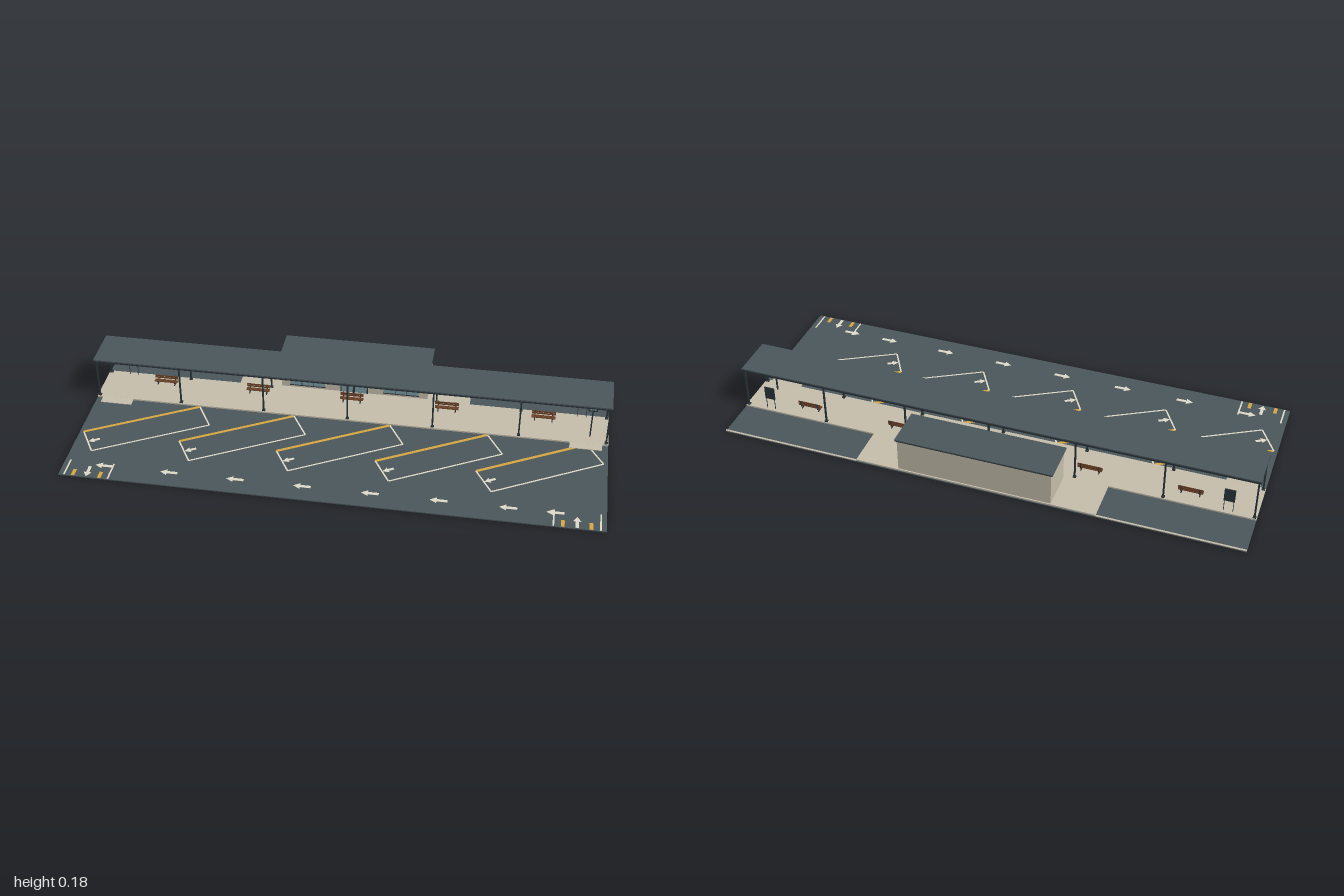
import * as THREE from 'three';

const mat = (name, color) => {
  const m = new THREE.MeshStandardMaterial({ color });
  m.name = name;
  return m;
};

export function createModel() {
  const asphalt = mat('asphalt and roofing', 0x4a565b);
  const dark = mat('dark steel', 0x2b363b);
  const stone = mat('pale stone', 0xc4bdab);
  const glass = mat('glass', 0x7d9ca6);
  const wood = mat('wood', 0x6b4228);
  const white = mat('white paint', 0xdedac8);
  const yellow = mat('yellow paint', 0xd6a540);

  const model = new THREE.Group();
  model.name = 'busStation';

  const group = (name, x = 0, y = 0, z = 0) => {
    const g = new THREE.Group();
    g.name = name;
    g.position.set(x, y, z);
    model.add(g);
    return g;
  };
  // Box given by its minimum and maximum on each axis
  const box = (name, m, x0, x1, y0, y1, z0, z1, parent = model) => {
    const mesh = new THREE.Mesh(new THREE.BoxGeometry(x1 - x0, y1 - y0, z1 - z0), m);
    mesh.position.set((x0 + x1) / 2, (y0 + y1) / 2, (z0 + z1) / 2);
    mesh.name = name;
    parent.add(mesh);
    return mesh;
  };

  const G = 0.004;   // asphalt level
  const P = 0.01;    // platform level

  // Ground, platform and rear forecourt
  box('ground', asphalt, -1, 1, 0, G, -0.415, 0.415);
  box('platform', stone, -1, 1, G, P, -0.25, -0.074);
  box('forecourt', stone, -0.46, 0.46, G, P, -0.413, -0.25);
  for (const s of [-1, 1]) {
    const x = s * 0.73;
    box('rearKerb', stone, x - 0.27, x + 0.27, G, 0.007, -0.415, -0.408);
  }

  // Sloped kerb ramps at both platform ends
  for (const s of [-1, 1]) {
    const profile = new THREE.Shape([[0, 0], [0.033, 0], [0.033, 0.002], [0, P - G]].map(p => new THREE.Vector2(...p)));
    const ramp = new THREE.Mesh(new THREE.ExtrudeGeometry(profile, { depth: 0.123, bevelEnabled: false }), stone);
    ramp.name = 'kerbRamp';
    ramp.rotation.y = -Math.PI / 2;
    ramp.position.set(s * 0.916 + 0.0615, G, -0.075);
    model.add(ramp);
  }

  // Canopy: slab, fascia, beams and two rows of posts
  const canopy = group('canopy');
  box('canopyRoof', asphalt, -1, 1, 0.176, 0.181, -0.248, -0.074, canopy);
  for (const z of [-0.247, -0.0765])
    box('fascia', dark, -0.998, 0.998, 0.17, 0.177, z - 0.002, z + 0.002, canopy);
  for (const x of [-0.997, 0.997])
    box('endFascia', dark, x - 0.003, x + 0.003, 0.17, 0.177, -0.247, -0.0765, canopy);
  for (let i = -3; i <= 3; i++) {
    const x = i * 0.3305;
    box('crossBeam', dark, x - 0.003, x + 0.003, 0.17, 0.176, -0.246, -0.077, canopy);
    for (const z of [-0.241, -0.083]) {
      box('post', dark, x - 0.003, x + 0.003, P, 0.176, z - 0.003, z + 0.003, canopy);
      box('postFoot', dark, x - 0.006, x + 0.006, P, P + 0.004, z - 0.006, z + 0.006, canopy);
    }
  }

  // Waiting hall with flat roof
  const hall = group('waitingHall');
  box('walls', stone, -0.293, 0.293, P, 0.14, -0.408, -0.258, hall);
  box('hallRoof', asphalt, -0.3, 0.3, 0.143, 0.147, -0.414, -0.251, hall);
  box('roofEdge', dark, -0.299, 0.299, 0.139, 0.1435, -0.413, -0.252, hall);
  for (const s of [-1, 1]) {
    const x = s * 0.187;
    box('windowPane', glass, x - 0.07, x + 0.07, 0.022, 0.115, -0.259, -0.2565, hall);
    for (const d of [-0.0235, 0.0235])
      box('windowMullion', dark, x + d - 0.001, x + d + 0.001, 0.022, 0.115, -0.258, -0.2555, hall);
    box('windowSill', dark, x - 0.072, x + 0.072, 0.019, 0.022, -0.259, -0.2545, hall);
    box('windowHead', dark, x - 0.072, x + 0.072, 0.115, 0.117, -0.259, -0.2555, hall);
  }
  // Sliding entrance doors under a dark header
  box('doorGlass', glass, -0.052, 0.052, P, 0.113, -0.259, -0.2565, hall);
  for (const x of [-0.053, 0, 0.053])
    box('doorFrame', dark, x - 0.0025, x + 0.0025, P, 0.115, -0.259, -0.255, hall);
  box('doorHeader', dark, -0.064, 0.064, 0.115, 0.132, -0.259, -0.253, hall);

  // Slatted benches
  for (let i = -2; i <= 2; i++) {
    const bench = group('bench', i * 0.375, P, -0.192);
    for (const z of [-0.006, 0, 0.006])
      box('seatSlat', wood, -0.046, 0.046, 0.015, 0.018, z - 0.0025, z + 0.0025, bench);
    for (const y of [0.025, 0.033])
      box('backSlat', wood, -0.046, 0.046, y - 0.003, y + 0.003, -0.0105, -0.0085, bench);
    for (const x of [-0.034, 0.034]) {
      box('benchLeg', dark, x - 0.002, x + 0.002, 0, 0.015, -0.002, 0.002, bench);
      box('benchFoot', dark, x - 0.002, x + 0.002, 0, 0.002, -0.008, 0.008, bench);
      box('seatBearer', dark, x - 0.002, x + 0.002, 0.013, 0.015, -0.011, 0.008, bench);
      box('backBracket', dark, x - 0.002, x + 0.002, 0.013, 0.037, -0.0125, -0.0105, bench);
    }
  }

  // Timetable boards at the platform ends
  for (const s of [-1, 1]) {
    const board = group('timetableBoard', s * 0.896, P, -0.237);
    box('boardBack', dark, -0.02, 0.02, 0.046, 0.098, -0.003, 0.002, board);
    box('boardFace', stone, -0.0175, 0.0175, 0.049, 0.095, 0.002, 0.003, board);
    box('boardHeading', dark, -0.013, 0.013, 0.085, 0.09, 0.003, 0.0035, board);
    for (const x of [-0.017, 0.017])
      box('boardLeg', dark, x - 0.001, x + 0.001, 0, 0.046, -0.002, 0, board);
  }

  // Stop sign pole with a display
  const sign = group('stopSign', 0.93, P, -0.12);
  box('signPole', dark, -0.0025, 0.0025, 0, 0.145, -0.0025, 0.0025, sign);
  box('signPanel', dark, -0.017, 0.017, 0.118, 0.145, -0.003, 0.003, sign);
  for (const z of [-0.0033, 0.0033])
    box('signFace', glass, -0.012, 0.012, 0.124, 0.139, z - 0.0005, z + 0.0005, sign);

  // Road paint: straight strokes and arrows
  const paint = group('roadMarkings');
  const stroke = (name, m, ax, az, bx, bz, w) => {
    const len = Math.hypot(bx - ax, bz - az);
    const mesh = box(name, m, -len / 2, len / 2, G, G + 0.001, -w / 2, w / 2, paint);
    mesh.position.x = (ax + bx) / 2;
    mesh.position.z = (az + bz) / 2;
    mesh.rotation.y = -Math.atan2(bz - az, bx - ax);
  };
  const arrow = (x, z, angle, len, w) => {
    const h = len / 2, t = w * 0.2, n = h - w * 0.8;
    const pts = [[-h, -t], [n, -t], [n, -w / 2], [h, 0], [n, w / 2], [n, t], [-h, t]];
    const geo = new THREE.ExtrudeGeometry(new THREE.Shape(pts.map(p => new THREE.Vector2(...p))), { depth: 0.001, bevelEnabled: false });
    geo.rotateX(-Math.PI / 2);
    const mesh = new THREE.Mesh(geo, white);
    mesh.name = 'arrow';
    mesh.position.set(x, G, z);
    mesh.rotation.y = angle;
    paint.add(mesh);
  };

  // Five angled bus bays
  for (let i = 0; i < 5; i++) {
    const x = i * 0.376;
    const a = [x - 0.985, 0.153], b = [x - 0.584, -0.072];
    const c = [x - 0.52, 0.037], d = [x - 0.921, 0.262];
    stroke('bayEdge', yellow, ...a, ...b, 0.012);
    stroke('bayLine', white, ...b, ...c, 0.006);
    stroke('bayLine', white, ...c, ...d, 0.006);
    stroke('bayLine', white, ...d, ...a, 0.006);
    arrow(x - 0.93, 0.198, Math.PI + Math.PI / 6, 0.045, 0.028);
  }

  // Driving lane arrows
  for (const x of [-0.847, -0.6, -0.35, -0.1, 0.15, 0.4, 0.65, 0.818])
    arrow(x, 0.341, Math.PI, 0.065, 0.032);

  // Exit on the right-hand side, entrance on the left-hand side
  for (const s of [-1, 1]) {
    const x = s * 0.896;
    for (const d of [-0.083, 0.083]) stroke('gateLine', white, x + d, 0.325, x + d, 0.413, 0.006);
    for (const d of [-0.05, 0.05]) stroke('gateBar', yellow, x + d, 0.378, x + d, 0.413, 0.013);
    arrow(x, 0.382, s * Math.PI / 2, 0.058, 0.03);
  }

  return model;
}
